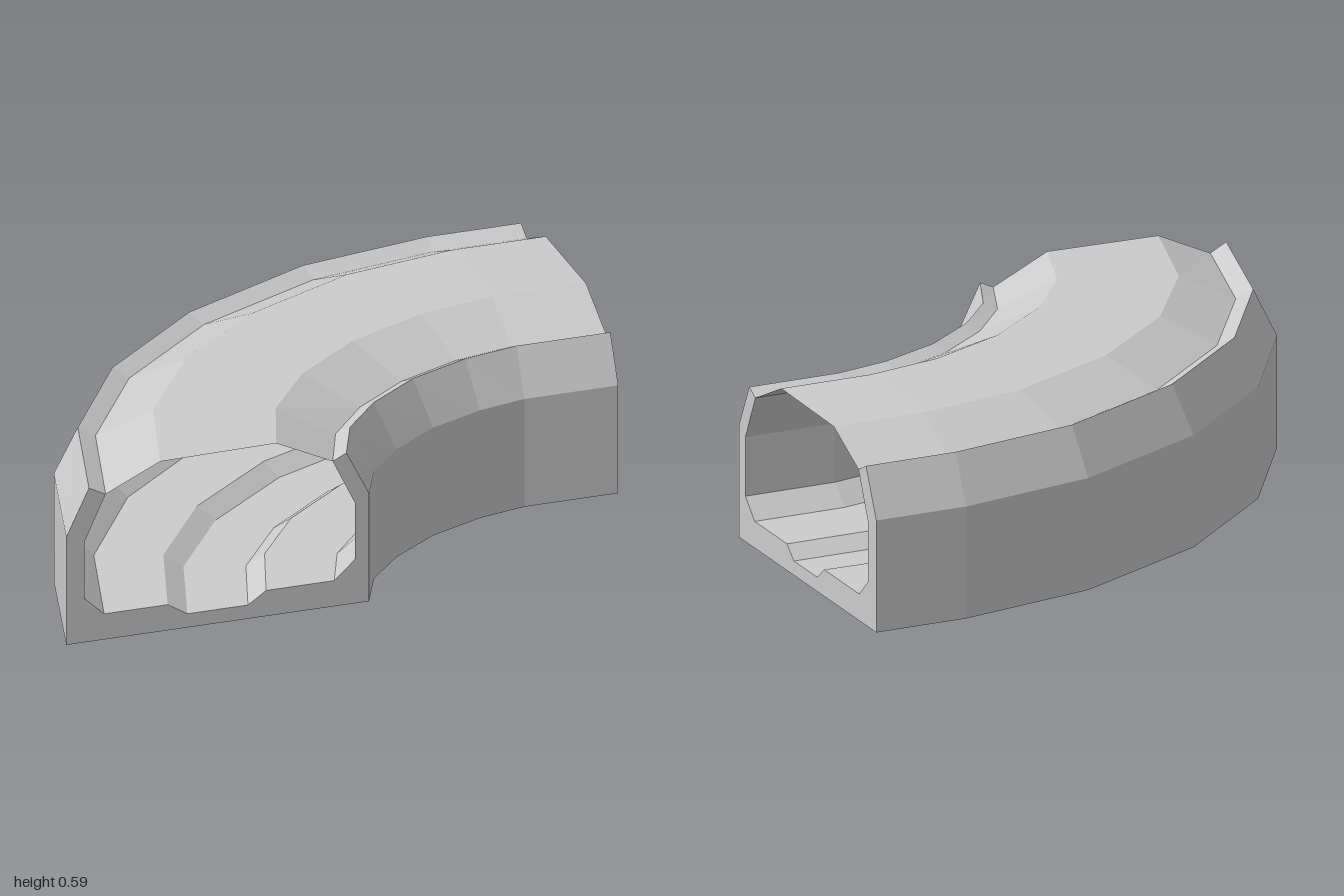
import * as THREE from 'three';

// Stations along the bend: inner edge [x, z] and outer edge [x, z]
const stations = [
  [0, 0.755, -1, 0.755],
  [0.07, 0.6, -0.88, 0.29],
  [0.19, 0.47, -0.62, -0.12],
  [0.35, 0.355, -0.24, -0.45],
  [0.53, 0.28, 0.23, -0.675],
  [0.69, 0.245, 0.69, -0.755],
  [1, 0.245, 1, -0.755],
];

// Cross-sections: [fraction from inner to outer edge, height, drift along the bend]
const trayProfile = [
  [0, 0], [1, 0], [1, 0.37], [0.925, 0.527], [0.87, 0.498], [0.94, 0.345],
  [0.94, 0.15], [0.875, 0.088],
  [0.665, 0.088, -0.045], [0.6, 0.047, -0.03], [0.4, 0.047], [0.34, 0.088, 0.01],
  [0.115, 0.088], [0.047, 0.15], [0.047, 0.345], [0.12, 0.498], [0.075, 0.52], [0, 0.37],
];
const roofProfile = [[0.87, 0.498], [0.69, 0.583], [0.307, 0.588], [0.12, 0.498]];

// Place one profile point at one station
function place([t, y, drift = 0], i) {
  const [ix, iz, ox, oz] = stations[i];
  const f = t + drift * i / (stations.length - 1);
  return [ix + (ox - ix) * f, y, iz + (oz - iz) * f];
}

// Sweep a profile along the bend; closed profiles get end caps
function sweep(profile, closed) {
  const pos = [];
  const tri = (...corners) => corners.forEach((c) => pos.push(...c));
  const n = profile.length;
  const last = stations.length - 1;
  for (let i = 0; i < last; i++) {
    for (let k = 0; k < (closed ? n : n - 1); k++) {
      const p = profile[k], q = profile[(k + 1) % n];
      const a = place(p, i), b = place(q, i), c = place(q, i + 1), d = place(p, i + 1);
      tri(a, b, c);
      tri(a, c, d);
    }
  }
  if (closed) {
    const outline = profile.map(([t, y]) => new THREE.Vector2(t, y));
    for (const [a, b, c] of THREE.ShapeUtils.triangulateShape(outline, [])) {
      tri(place(profile[c], 0), place(profile[b], 0), place(profile[a], 0));
      tri(place(profile[a], last), place(profile[b], last), place(profile[c], last));
    }
  }
  const geometry = new THREE.BufferGeometry();
  geometry.setAttribute('position', new THREE.Float32BufferAttribute(pos, 3));
  geometry.computeVertexNormals();
  return geometry;
}

export function createModel() {
  const group = new THREE.Group();
  group.name = 'curvedCorridor';

  // Solid base with side walls and a floor channel
  const tray = new THREE.Mesh(
    sweep(trayProfile, true),
    new THREE.MeshStandardMaterial({ color: 0xcccccc, flatShading: true }),
  );
  tray.name = 'baseAndWalls';

  // Thin faceted roof between the walls
  const roof = new THREE.Mesh(
    sweep(roofProfile, false),
    new THREE.MeshStandardMaterial({ color: 0xcccccc, flatShading: true, side: THREE.DoubleSide }),
  );
  roof.name = 'roof';

  group.add(tray, roof);
  return group;
}
